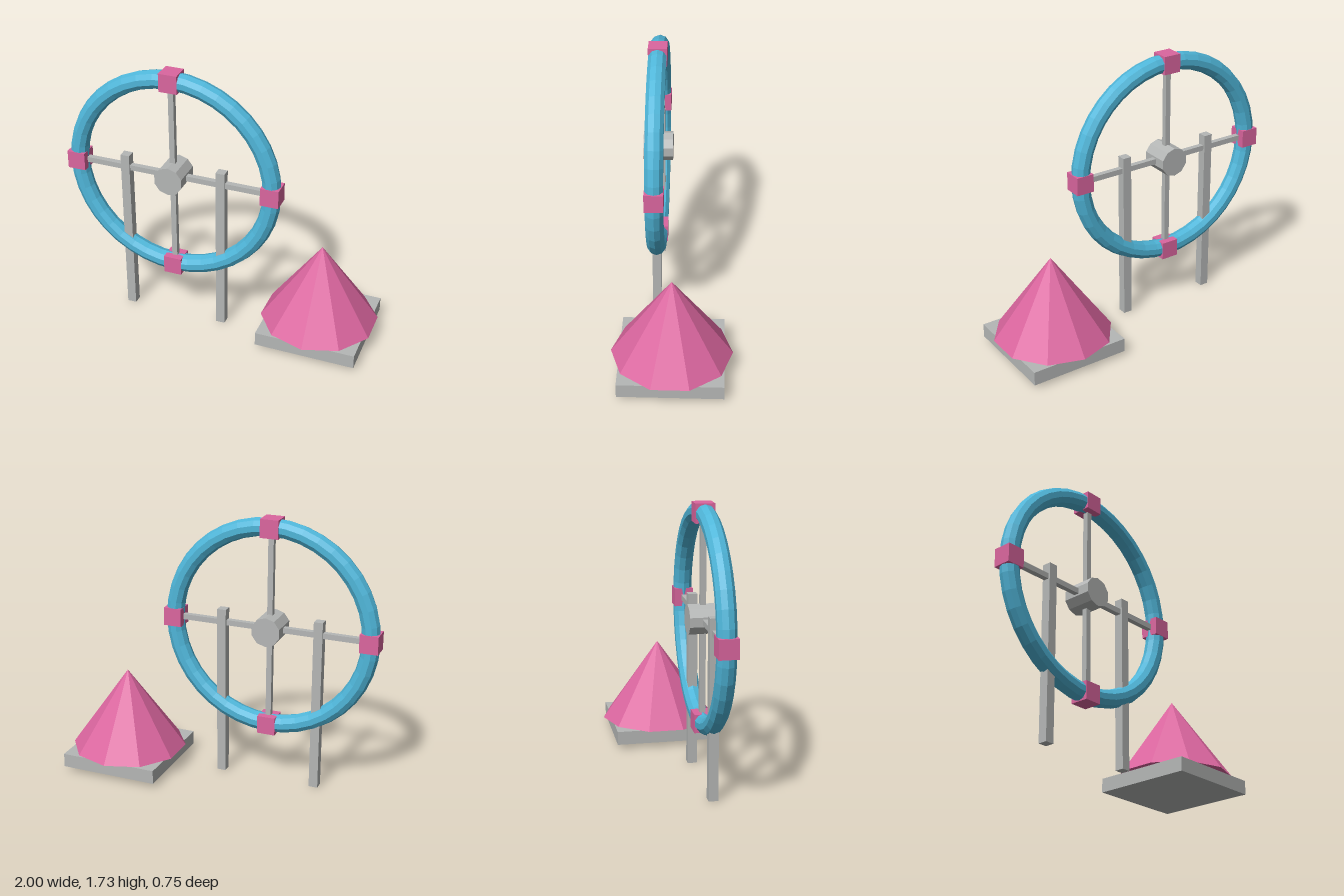
import * as THREE from 'three';

const pink = new THREE.MeshStandardMaterial({ color: 0xdb669f, flatShading: true });
pink.name = 'pink';
const blue = new THREE.MeshStandardMaterial({ color: 0x4fb6d9, flatShading: true });
blue.name = 'sky blue';
const grey = new THREE.MeshStandardMaterial({ color: 0xb5b7b6, flatShading: true });
grey.name = 'grey';

function add(parent, name, geometry, material, x = 0, y = 0, z = 0) {
  const mesh = new THREE.Mesh(geometry, material);
  mesh.name = name;
  mesh.position.set(x, y, z);
  parent.add(mesh);
  return mesh;
}

export function createModel() {
  const model = new THREE.Group();
  model.name = 'fairground';

  // Big wheel
  const R = 0.643, axleY = 1.03, cabinSize = 0.117;
  const wheel = new THREE.Group();
  wheel.name = 'bigWheel';
  wheel.position.set(-0.298, 0, 0.117);
  model.add(wheel);

  add(wheel, 'rim', new THREE.TorusGeometry(R, 0.0585, 10, 40), blue, 0, axleY);

  const hub = new THREE.CylinderGeometry(0.094, 0.094, 0.187, 10);
  hub.rotateX(Math.PI / 2);
  add(wheel, 'hub', hub, grey, 0, axleY);

  add(wheel, 'spokeHorizontal', new THREE.BoxGeometry(2 * R, 0.035, 0.035), grey, 0, axleY);
  add(wheel, 'spokeVertical', new THREE.BoxGeometry(0.035, 2 * R, 0.035), grey, 0, axleY);

  // Cabins at the spoke ends
  for (let i = 0; i < 4; i++) {
    const a = (i * Math.PI) / 2;
    add(wheel, 'cabin', new THREE.BoxGeometry(cabinSize, cabinSize, cabinSize), pink,
      R * Math.cos(a), axleY + R * Math.sin(a));
  }

  // Support posts
  for (const side of [-1, 1]) {
    add(wheel, 'post', new THREE.BoxGeometry(0.058, 1.117, 0.058), grey, side * 0.317, 0.5585);
  }

  // Tent on a square platform
  const tent = new THREE.Group();
  tent.name = 'tent';
  tent.position.set(0.643, 0, 0);
  model.add(tent);
  add(tent, 'platform', new THREE.BoxGeometry(0.643, 0.09, 0.643), grey, 0, 0.076);
  add(tent, 'roof', new THREE.ConeGeometry(0.374, 0.526, 10), pink, 0, 0.121 + 0.263);

  return model;
}
